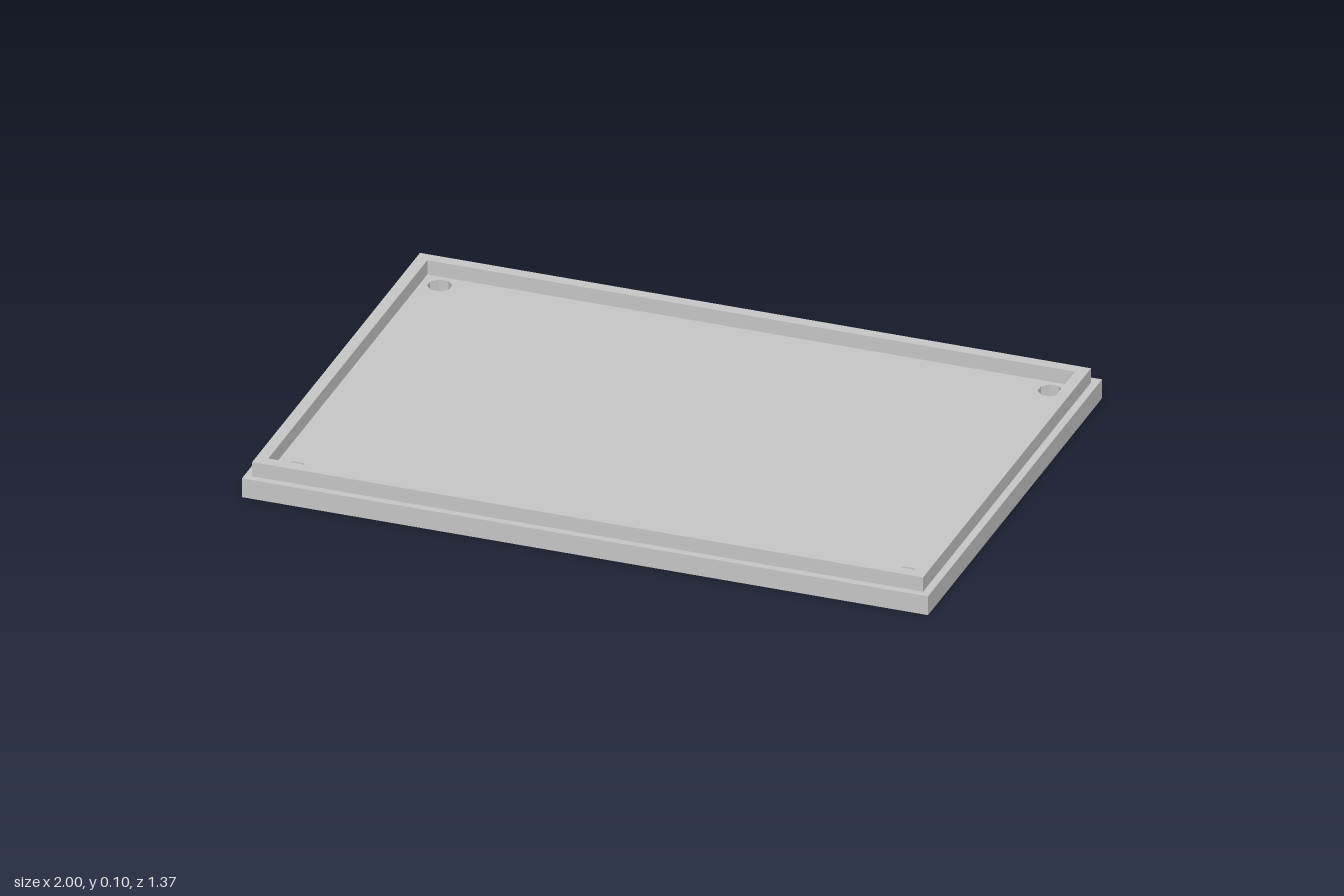
import * as THREE from 'three';

// Rectangle outline spanning y0..y1, centred on x = 0
function rect(path, hx, y0, y1) {
  path.moveTo(-hx, y0);
  path.lineTo(hx, y0);
  path.lineTo(hx, y1);
  path.lineTo(-hx, y1);
  path.closePath();
  return path;
}

// Extrude a plan outline upwards from height y
function slab(name, shape, y, height, material) {
  const geometry = new THREE.ExtrudeGeometry(shape, { depth: height, bevelEnabled: false });
  geometry.rotateX(-Math.PI / 2);
  geometry.translate(0, y, 0);
  const mesh = new THREE.Mesh(geometry, material);
  mesh.name = name;
  return mesh;
}

export function createModel() {
  const group = new THREE.Group();
  group.name = 'enclosureLid';
  const grey = new THREE.MeshStandardMaterial({ color: 0xc7c7c7, flatShading: true });
  grey.name = 'lightGrey';

  const plateHeight = 0.058;
  const rimHeight = 0.044;

  // Base plate with an eight-sided screw hole in each corner
  const plate = rect(new THREE.Shape(), 1, -0.683, 0.683);
  const sides = 8;
  for (const sx of [-1, 1]) {
    for (const sz of [-1, 1]) {
      const points = [];
      for (let i = 0; i < sides; i++) {
        const a = ((i + 0.5) / sides) * Math.PI * 2;
        points.push(new THREE.Vector2(sx * 0.89 + 0.035 * Math.cos(a), sz * 0.572 + 0.035 * Math.sin(a)));
      }
      plate.holes.push(new THREE.Path(points));
    }
  }
  group.add(slab('basePlate', plate, 0, plateHeight, grey));

  // Raised locating rim, set in from the plate edge
  const rim = rect(new THREE.Shape(), 0.978, -0.662, 0.655);
  rim.holes.push(rect(new THREE.Path(), 0.944, -0.627, 0.621));
  group.add(slab('rim', rim, plateHeight, rimHeight, grey));

  return group;
}
